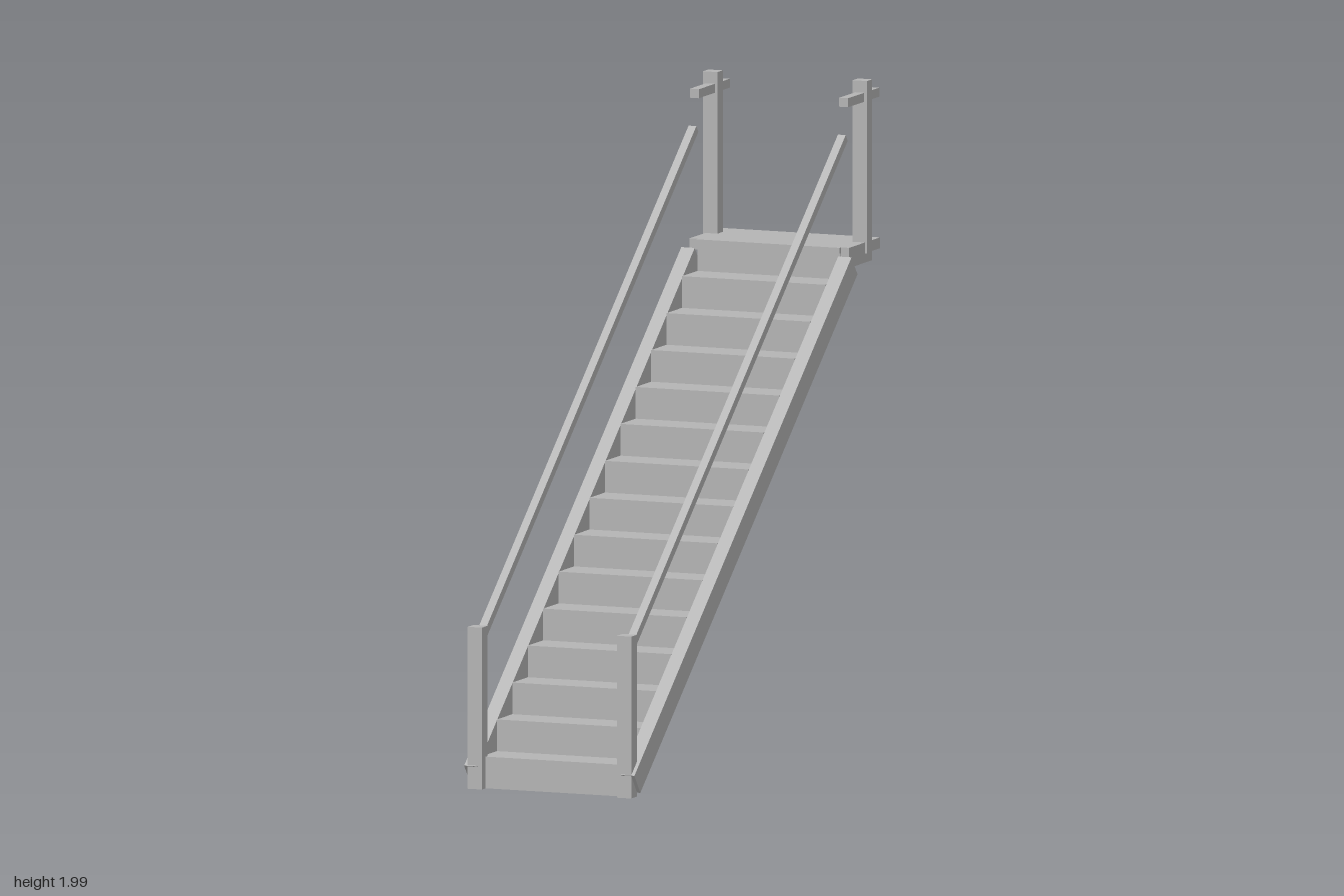
import * as THREE from 'three';

export function createModel() {
  const model = new THREE.Group();
  model.name = 'staircase';
  const grey = new THREE.MeshStandardMaterial({ color: 0xb4b4b4 });
  grey.name = 'grey';

  // Box given by its min and max on each axis
  function box(name, x0, x1, y0, y1, z0, z1) {
    const mesh = new THREE.Mesh(new THREE.BoxGeometry(x1 - x0, y1 - y0, z1 - z0), grey);
    mesh.name = name;
    mesh.position.set((x0 + x1) / 2, (y0 + y1) / 2, (z0 + z1) / 2);
    model.add(mesh);
  }

  // Sloping bar between two (z, y) points, with square-cut ends
  function bar(name, x, width, height, z0, y0, z1, y1) {
    const length = Math.hypot(z1 - z0, y1 - y0);
    const mesh = new THREE.Mesh(new THREE.BoxGeometry(width, height, length), grey);
    mesh.name = name;
    mesh.position.set(x, (y0 + y1) / 2, (z0 + z1) / 2);
    mesh.rotation.x = Math.atan2(y1 - y0, z0 - z1);
    model.add(mesh);
  }

  // Open steps made of thin risers and treads
  const count = 14, rise = 0.0988, run = 0.123, zFront = 0.97, half = 0.24, t = 0.015;
  for (let i = 0; i <= count; i++) {
    const z = zFront - i * run, y = i * rise;
    box('riser', -half, half, y, y + rise - t, z - 0.012, z);
    if (i < count) box('tread', -half, half, y + rise - t, y + rise, z - run, z);
  }

  // Top landing with its nosing
  box('landing', -half, half, 1.41, 1.465, -1, -0.755);
  box('landingDeck', -half, half, 1.465, 1.483, -1, -0.743);

  // Mirrored side parts
  for (const s of [1, -1]) {
    const side = (name, a, b, ...rest) => box(name, Math.min(s * a, s * b), Math.max(s * a, s * b), ...rest);
    bar('stringer', s * 0.2625, 0.045, 0.076, 0.978, 0.042, -0.755, 1.428);
    side('landingEdge', half, 0.267, 1.449, 1.483, -1, -0.755);
    side('lowerPost', 0.226, 0.274, 0, 0.505, 0.955, 1);
    side('upperPost', 0.226, 0.274, 1.449, 1.987, -0.922, -0.88);
    bar('handrail', s * 0.25, 0.026, 0.026, 0.962, 0.462, -0.745, 1.827);
    side('upperRail', 0.235, 0.265, 1.922, 1.95, -1, -0.752);
  }
  return model;
}
